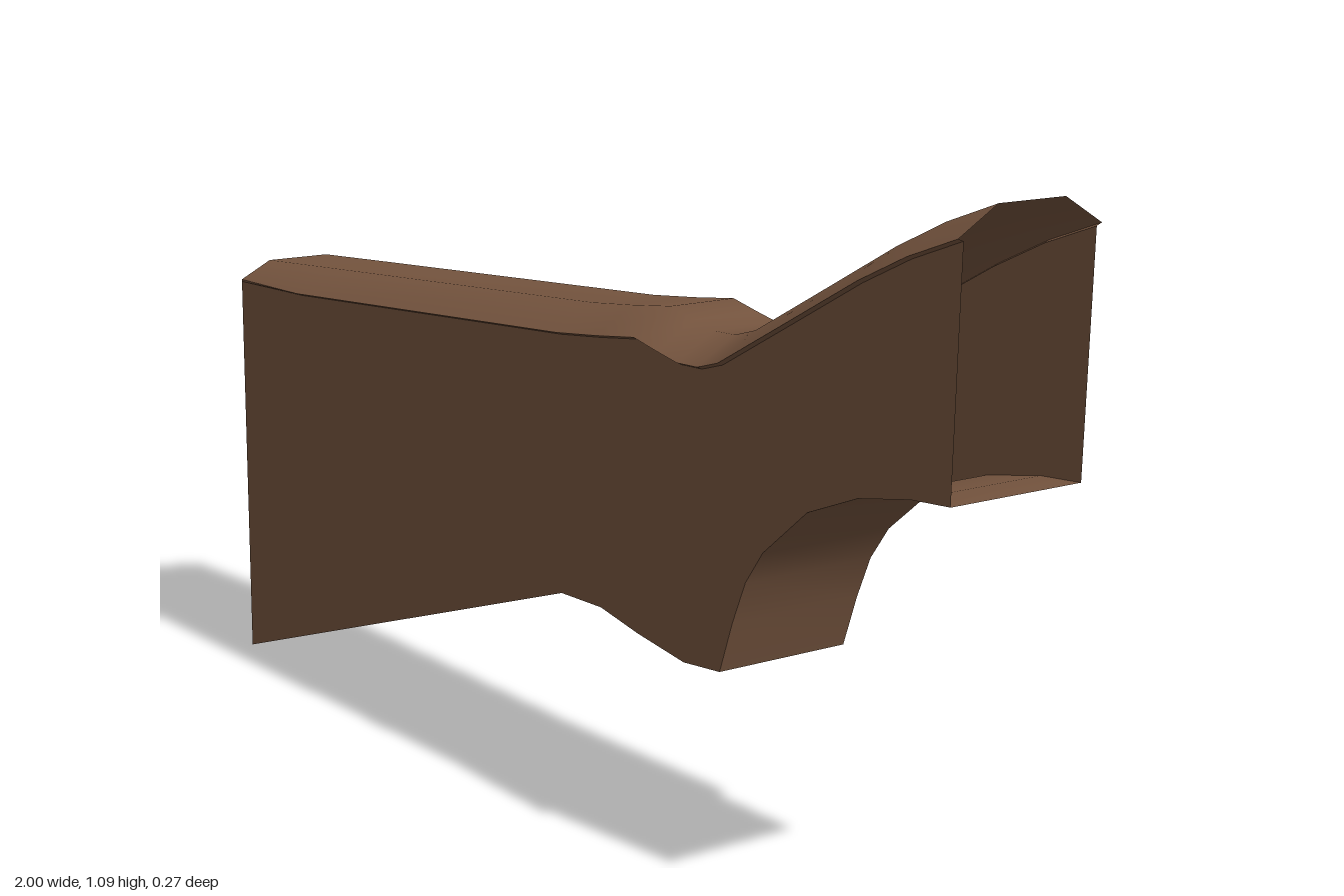
import * as THREE from 'three';

const wood = new THREE.MeshStandardMaterial({ color: 0x76553f, side: THREE.DoubleSide });
wood.name = 'walnut brown';

// Profile lines of the stock as [x, y], from butt to wrist end
const TOP = [[-1, 0.766], [-0.77, 0.78], [0.07, 0.83], [0.18, 0.841], [0.28, 0.853], [0.34, 0.84], [0.39, 0.83],
  [0.44, 0.831], [0.49, 0.845], [0.65, 0.93], [0.8, 1.01], [0.9, 1.056], [1, 1.092]];
const BELLY = [[-1, 0], [0.07, 0.35], [0.18, 0.351], [0.28, 0.331], [0.4, 0.313], [0.49, 0.32]];
const GRIP = [[0.49, 0.32], [0.52, 0.405], [0.55, 0.475], [0.59, 0.53], [0.69, 0.612], [0.8, 0.655], [0.91, 0.675], [0.99, 0.68]];
const HALF = 0.125; // half thickness of the body

// Smooth surface through rows of points
function loft(name, rows) {
  const n = rows[0].length, index = [];
  for (let i = 0; i < rows.length - 1; i++) {
    for (let j = 0; j < n - 1; j++) {
      const a = i * n + j, b = a + n;
      index.push(a, b, b + 1, a, b + 1, a + 1);
    }
  }
  const g = new THREE.BufferGeometry();
  g.setAttribute('position', new THREE.Float32BufferAttribute(rows.flat(2), 3));
  g.setIndex(index);
  g.computeVertexNormals();
  const mesh = new THREE.Mesh(g, wood);
  mesh.name = name;
  return mesh;
}

// Height of a profile line at x
function heightAt(line, x) {
  for (let i = 1; i < line.length; i++) {
    const [x0, y0] = line[i - 1], [x1, y1] = line[i];
    if (x <= x1) return y0 + (y1 - y0) * (x - x0) / (x1 - x0);
  }
  return line[line.length - 1][1];
}

const capHalf = x => Math.min(0.135, HALF + 0.01 * (x + 1) / 0.23);
const shoulder = (x, y) => y - (x < -0.77 ? 0.032 + 0.04 * (x + 1) : 0.042);

export function createModel() {
  const group = new THREE.Group();
  group.name = 'stock';

  // Rounded comb along the top, slightly wider than the body
  group.add(loft('comb', TOP.map(([x, y]) => {
    const w = capHalf(x), s = shoulder(x, y);
    return [[x, s, w], [x, y, 0.063], [x, y, -0.063], [x, s, -w]];
  })));

  // Flat sides with the narrow ledge under the comb
  const under = [...BELLY, ...GRIP.slice(1)];
  const xs = [...new Set([...TOP, ...under].map(p => p[0]))].sort((a, b) => a - b);
  for (const side of [1, -1]) {
    const order = row => (side > 0 ? row : row.reverse());
    const label = side > 0 ? 'front' : 'back';
    group.add(loft(label + 'Side', xs.map(x => {
      const s = shoulder(x, heightAt(TOP, x)) - 0.004;
      return order([[Math.min(x, 0.99), heightAt(under, x), side * HALF], [x, s, side * HALF]]);
    })));
    group.add(loft(label + 'Ledge', TOP.map(([x, y]) => {
      const s = shoulder(x, y);
      return order([[x, s - 0.004, side * HALF], [x, s, side * capHalf(x)]]);
    })));
  }

  // Underside, creased where the grip begins
  const across = ([x, y]) => [[x, y, -HALF], [x, y, HALF]];
  group.add(loft('belly', BELLY.map(across)));
  group.add(loft('gripCurve', GRIP.map(across)));

  // Butt plate; the opposite end stays open
  group.add(loft('buttPlate', [[-HALF, 0.734], [-0.063, 0.766], [0.063, 0.766], [HALF, 0.734]]
    .map(([z, y]) => [[-1, 0, z], [-1, y, z]])));

  return group;
}
